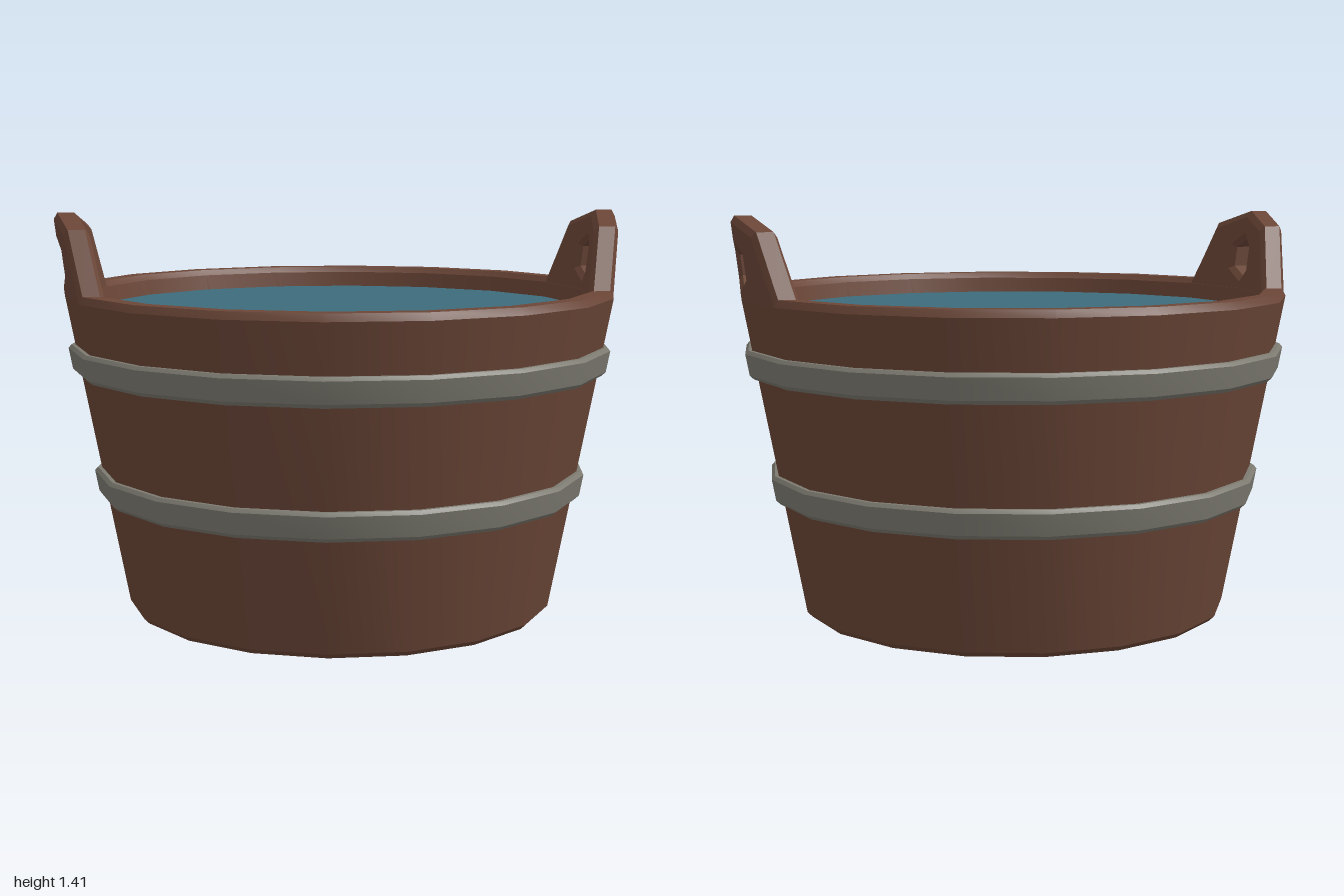
import * as THREE from 'three';
import { toCreasedNormals } from 'three/addons/utils/BufferGeometryUtils.js';

const SIDES = 18;
const wood = new THREE.MeshStandardMaterial({ color: 0x6b4637 });
const metal = new THREE.MeshStandardMaterial({ color: 0x7c7a70 });
const waterBlue = new THREE.MeshStandardMaterial({ color: 0x3d6b7c });

const wallRadius = (y) => 0.757 + 0.188 * y;

function addMesh(group, name, geometry, material) {
  const mesh = new THREE.Mesh(toCreasedNormals(geometry, 0.4), material);
  mesh.name = name;
  group.add(mesh);
  return mesh;
}

// Eighteen-sided turned part with a corner on the x axis
function turned(points) {
  const profile = points.map(([r, y]) => new THREE.Vector2(r, y));
  return new THREE.LatheGeometry(profile, SIDES, Math.PI / 2);
}

// Mirrors half an outline (edge, shoulder, top) into six points: up one side, down the other
function outline([z0, y0], [z1, y1], top, bottom) {
  return [[-z0, y0], [-z1, y1], [0, top], [z1, y1], [z0, y0], [0, bottom]];
}

// Pointed-top hexagon for the hand hole
function hexagon(r) {
  const w = r * Math.cos(Math.PI / 6);
  return outline([w, 1.24 - r / 2], [w, 1.24 + r / 2], 1.24 + r, 1.24 - r);
}

// Raised ear with a hand hole: loops swept from outer face, over the edge, to inner face and back through the hole
function earGeometry() {
  const thickness = 0.088, bevel = 0.015;
  const edge = outline([0.331, 1.12], [0.197, 1.36], 1.41, 1.12);
  const face = outline([0.312, 1.12], [0.18, 1.342], 1.388, 1.12);
  const holeEdge = hexagon(0.09), hole = hexagon(0.07);
  const loops = [
    [holeEdge, 0], [face, 0], [edge, bevel], [edge, thickness - bevel],
    [face, thickness], [holeEdge, thickness], [hole, thickness - bevel], [hole, bevel],
  ];
  const positions = [], index = [];
  const fold = Math.tan(Math.PI / SIDES);
  loops.forEach(([points, depth], i) => {
    const next = (i + 1) % loops.length;
    points.forEach(([z, y], k) => {
      positions.push(0.968 + 0.12 * (y - 1.12) - depth - fold * Math.abs(z), y, z);
      const k1 = (k + 1) % 6;
      const a = i * 6 + k, b = next * 6 + k, c = next * 6 + k1, d = i * 6 + k1;
      index.push(a, b, c, a, c, d);
    });
  });
  const geometry = new THREE.BufferGeometry();
  geometry.setAttribute('position', new THREE.Float32BufferAttribute(positions, 3));
  geometry.setIndex(index);
  return geometry;
}

export function createModel() {
  const tub = new THREE.Group();
  tub.name = 'washTub';

  // Wall with bevelled rim and a slightly recessed base
  addMesh(tub, 'tubBody', turned([
    [0, 0.015], [0.69, 0.015], [0.69, 0], [0.742, 0], [0.76, 0.018],
    [0.968, 1.12], [0.955, 1.145], [0.897, 1.145], [0.88, 1.125],
    [0.68, 0.08], [0, 0.08],
  ]), wood);

  // Metal hoops
  for (const [name, y] of [['lowerHoop', 0.41], ['upperHoop', 0.85]]) {
    const ring = [[-0.02, 0], [0.014, 0], [0.027, 0.014], [0.027, 0.088], [0.014, 0.1], [-0.02, 0.1]];
    addMesh(tub, name, turned(ring.map(([out, up]) => [wallRadius(y + up) + out, y + up])), metal);
  }

  // Ears on both sides
  addMesh(tub, 'leftEar', earGeometry(), wood);
  addMesh(tub, 'rightEar', earGeometry(), wood).rotation.y = Math.PI;

  // Water surface
  const surface = new THREE.CircleGeometry(0.872, SIDES).rotateX(-Math.PI / 2).translate(0, 1.07, 0);
  addMesh(tub, 'water', surface, waterBlue);

  return tub;
}
